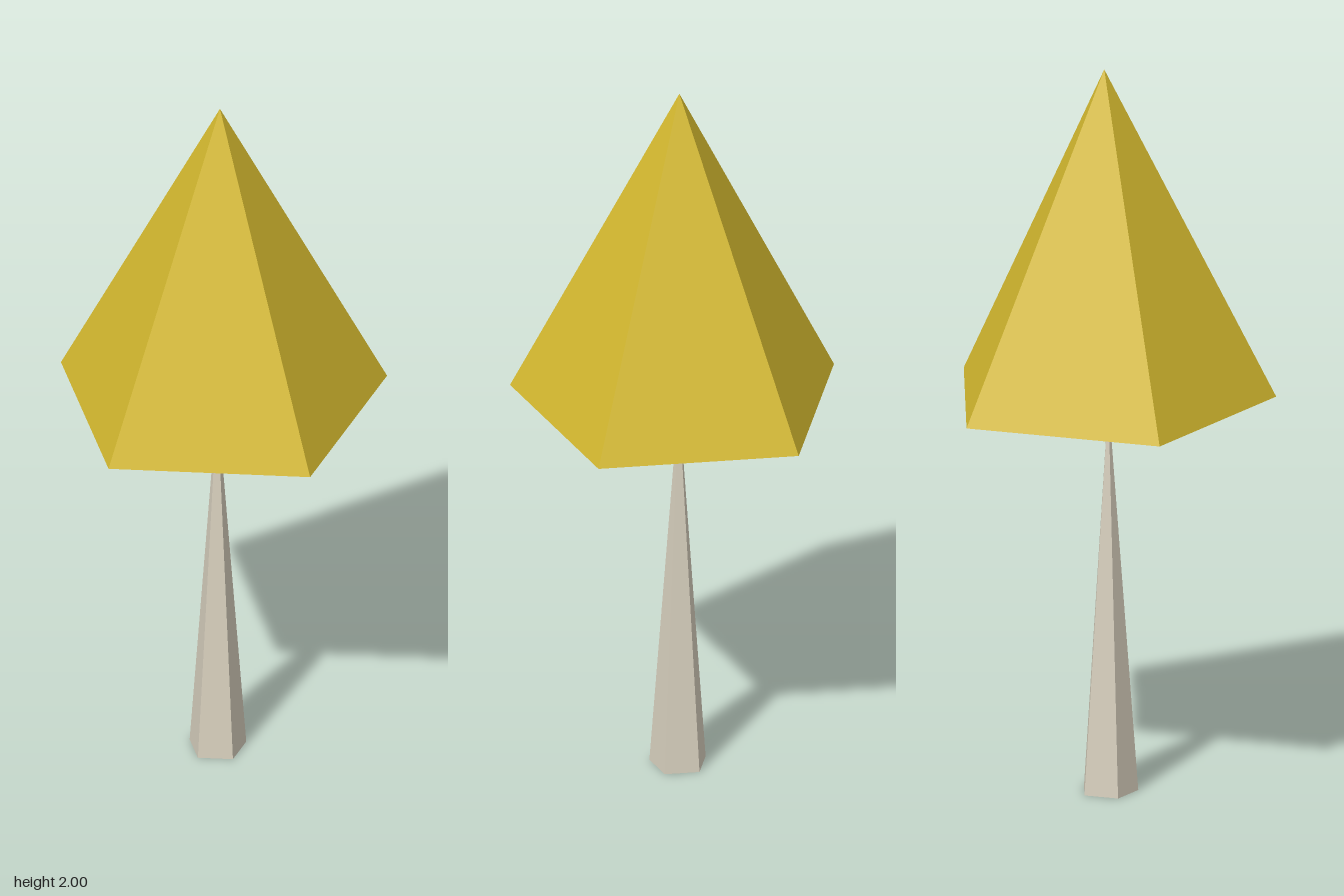
import * as THREE from 'three';

const foliage = new THREE.MeshStandardMaterial({ name: 'mustard foliage', color: 0xd4b92f, side: THREE.DoubleSide, flatShading: true });
const bark = new THREE.MeshStandardMaterial({ name: 'pale bark', color: 0xd8d0be, side: THREE.DoubleSide, flatShading: true });

// Hollow five-sided spire with one corner facing the front
function spire(name, radius, bottom, top, z, material) {
  const height = top - bottom;
  const geometry = new THREE.ConeGeometry(radius, height, 5, 1, true);
  const mesh = new THREE.Mesh(geometry, material);
  mesh.name = name;
  mesh.position.set(0, bottom + height / 2, z);
  return mesh;
}

export function createModel() {
  const tree = new THREE.Group();
  tree.name = 'tree';
  tree.add(
    spire('crown', 0.455, 1.09, 2, -0.045, foliage),
    spire('trunk', 0.079, 0, 1.085, -0.034, bark),
  );
  return tree;
}
